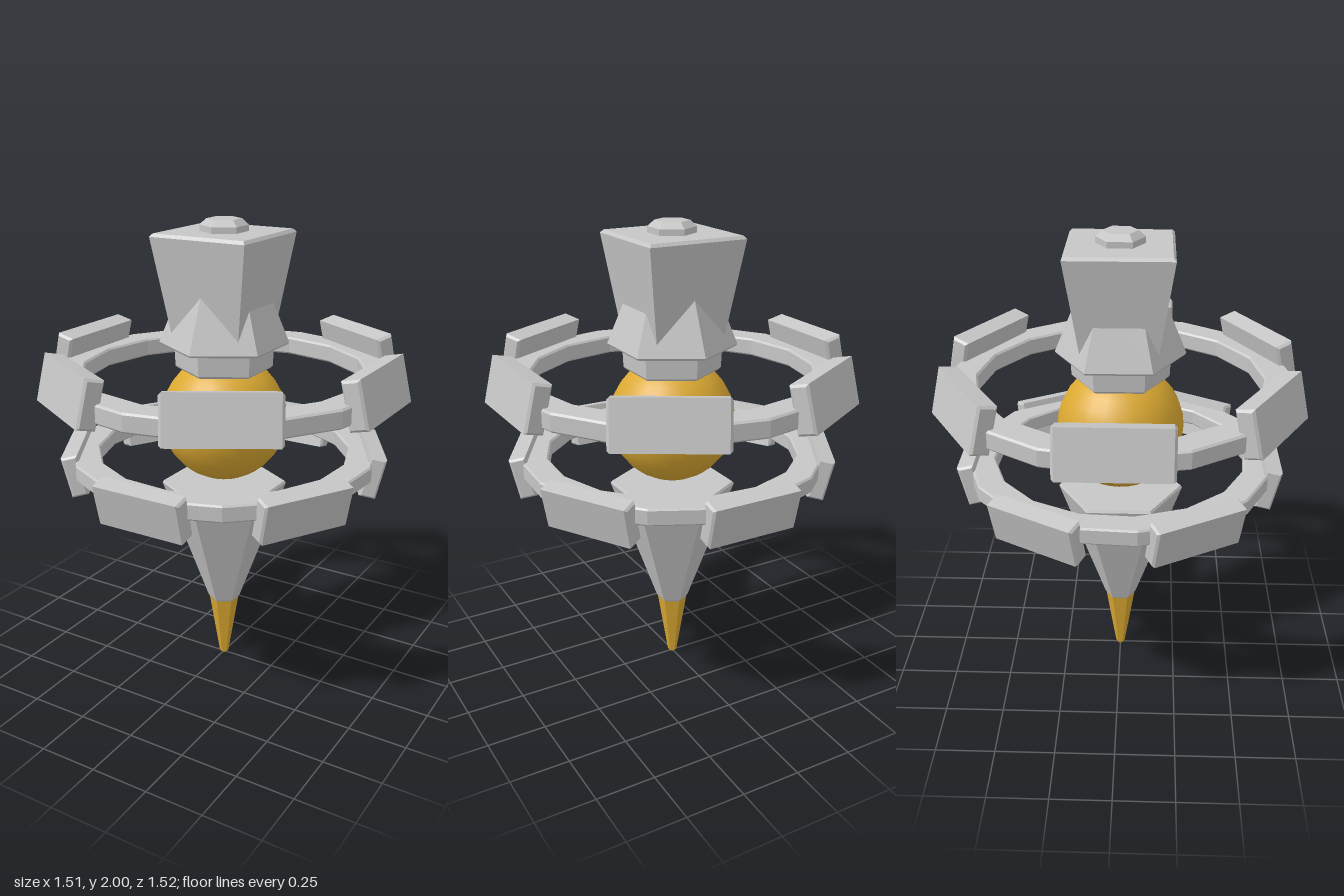
import * as THREE from 'three';

const metal = new THREE.MeshStandardMaterial({ color: 0xc6c6c6 });
metal.name = 'paleGrey';
const gold = new THREE.MeshStandardMaterial({ color: 0xdba932 });
gold.name = 'gold';

function part(name, geometry, material) {
  const mesh = new THREE.Mesh(geometry, material);
  mesh.name = name;
  return mesh;
}

// Faceted solid of revolution from [radius, y] pairs, listed upwards on the outside
function faceted(profile, sides, phase = 0) {
  const points = profile.map(([r, y]) => new THREE.Vector2(r, y));
  const geometry = new THREE.LatheGeometry(points, sides, phase).toNonIndexed();
  geometry.computeVertexNormals();
  return geometry;
}

// Chamfered slab running along z
function slab(thick, high, long, bevel) {
  const x = thick / 2 - bevel, y = high / 2 - bevel;
  const shape = new THREE.Shape([
    new THREE.Vector2(-x, -y), new THREE.Vector2(x, -y),
    new THREE.Vector2(x, y), new THREE.Vector2(-x, y),
  ]);
  const geometry = new THREE.ExtrudeGeometry(shape, {
    depth: long - 2 * bevel, bevelEnabled: true,
    bevelThickness: bevel, bevelSize: bevel, bevelSegments: 1,
  });
  return geometry.translate(0, 0, -long / 2 + bevel);
}

// Sixteen-sided ring carrying six tilted panels; lean -1 turns it upside down
function panelRing(name, y, scale, lean, turn) {
  const group = new THREE.Group();
  group.name = name;
  const a = 0.6, b = 0.73, h = 0.04, c = 0.008;
  group.add(part('ringBand', faceted([
    [a + c, -h], [b - c, -h], [b, -h + c], [b, h - c],
    [b - c, h], [a + c, h], [a, h - c], [a, -h + c], [a + c, -h],
  ], 16), metal));
  const panelGeometry = slab(0.08, 0.2, 0.45, 0.01);
  for (let i = 0; i < 6; i++) {
    const arm = new THREE.Group();
    arm.name = 'panelMount';
    arm.rotation.y = i * Math.PI / 3;
    const panel = part('ringPanel', panelGeometry, metal);
    panel.position.set(0.694, 0.037 * lean, 0);
    panel.rotation.z = 0.235 * lean;
    arm.add(panel);
    group.add(arm);
  }
  group.position.y = y;
  group.rotation.y = turn;
  group.scale.setScalar(scale);
  return group;
}

export function createModel() {
  const model = new THREE.Group();
  model.name = 'floatingDevice';

  // Central ball
  const ball = part('coreBall', new THREE.SphereGeometry(0.27, 24, 16), gold);
  ball.position.y = 1.163;
  model.add(ball);

  // Lower spike and its tip
  model.add(part('lowerCone', faceted([
    [0, 0.285], [0.06, 0.285], [0.071, 0.3], [0.272, 0.857], [0.265, 0.867], [0, 0.867],
  ], 6), metal));
  model.add(part('spikeTip', faceted([
    [0, 0], [0.014, 0], [0.02, 0.008], [0.066, 0.295], [0, 0.295],
  ], 6), gold));

  // Collar and flared skirt above the ball
  model.add(part('collar', faceted([
    [0, 1.38], [0.195, 1.38], [0.205, 1.39], [0.21, 1.49], [0, 1.49],
  ], 6), metal));
  model.add(part('skirt', faceted([
    [0, 1.483], [0.265, 1.483], [0.272, 1.492], [0.15, 1.79], [0, 1.79],
  ], 6), metal));

  // Square head, widening upwards, with a small knob
  const d = Math.SQRT2;
  model.add(part('head', faceted([
    [0, 1.53], [0.157 * d, 1.53], [0.217 * d, 1.937], [0.206 * d, 1.95], [0, 1.95],
  ], 4, Math.PI / 4), metal));
  model.add(part('topKnob', faceted([
    [0, 1.94], [0.1, 1.94], [0.1, 1.975], [0.072, 2], [0, 2],
  ], 6), metal));

  // Two rings of panels
  model.add(panelRing('upperRing', 1.345, 1, 1, 0));
  model.add(panelRing('lowerRing', 0.993, 0.9, -1, Math.PI / 6));

  return model;
}
